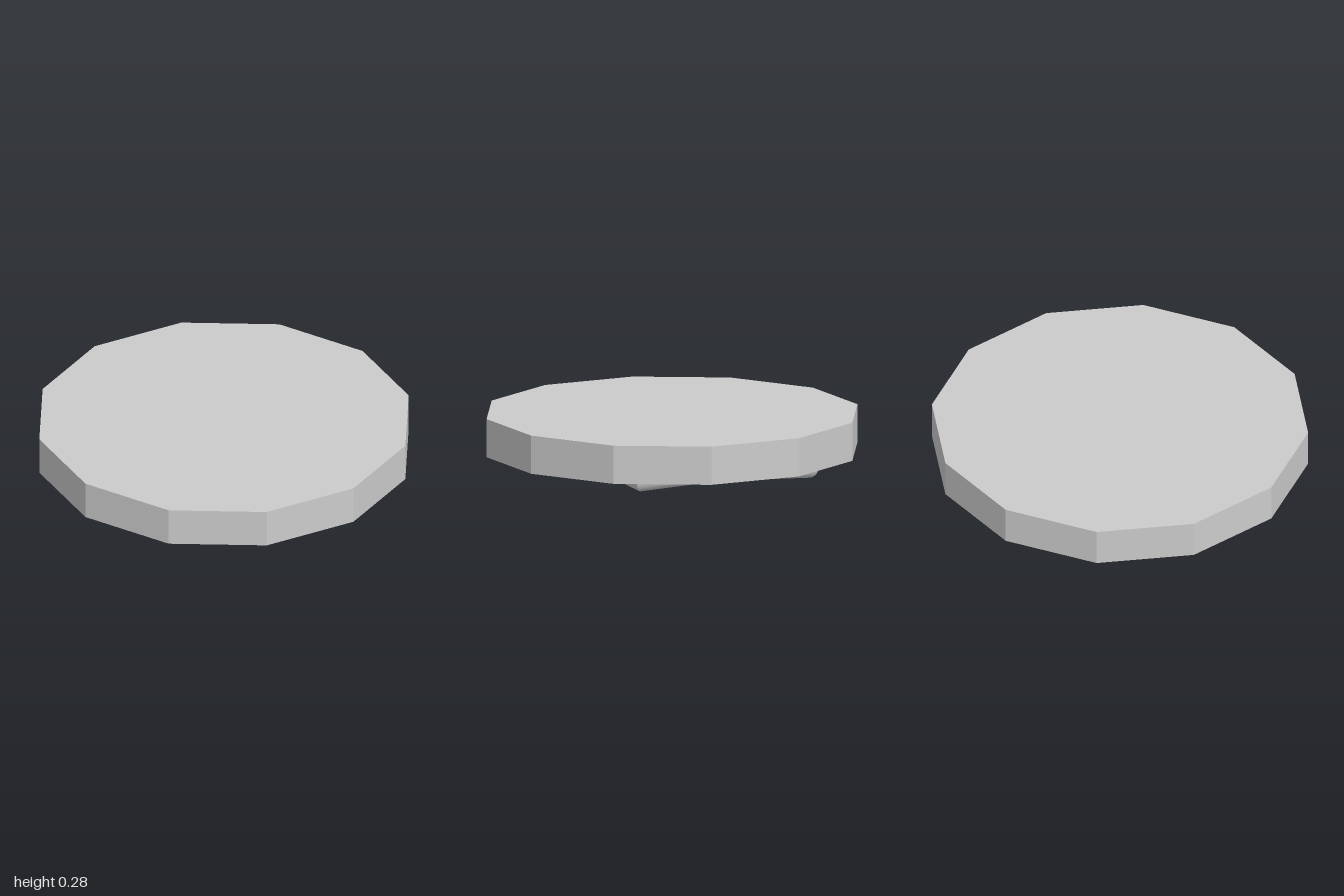
import * as THREE from 'three';
import { toCreasedNormals } from 'three/addons/utils/BufferGeometryUtils.js';

export function createModel() {
  const group = new THREE.Group();
  group.name = 'discWithStarFoot';

  // Twelve-sided flat disc
  const disc = new THREE.Mesh(
    new THREE.CylinderGeometry(1, 1, 0.205, 12),
    new THREE.MeshStandardMaterial({ color: 0xcccccc, flatShading: true })
  );
  disc.name = 'disc';
  disc.position.y = 0.1775;
  group.add(disc);

  // Slightly uneven five-pointed star underneath: x, z of the bottom face, tip and notch in turn
  const outline = [
    [0.594, 0.46], [0.098, 0.5], [-0.277, 0.74], [-0.47, 0.294], [-0.825, -0.02],
    [-0.455, -0.36], [-0.275, -0.77], [0.13, -0.523], [0.637, -0.46], [0.465, -0.015],
  ];
  const shape = new THREE.Shape(outline.map(([x, z]) => new THREE.Vector2(x, z)));
  const depth = 0.04, bevelThickness = 0.068;
  const geometry = new THREE.ExtrudeGeometry(shape, {
    depth, bevelThickness, bevelSize: 0.045, bevelSegments: 8, bevelEnabled: true,
  });
  // Lay it flat, rounded edge down; its upper side sits inside the disc
  geometry.rotateX(Math.PI / 2);
  geometry.translate(0, depth + bevelThickness, 0);
  const star = new THREE.Mesh(
    toCreasedNormals(geometry, 0.5),
    new THREE.MeshStandardMaterial({ color: 0xcccccc })
  );
  star.name = 'starFoot';
  group.add(star);

  return group;
}
